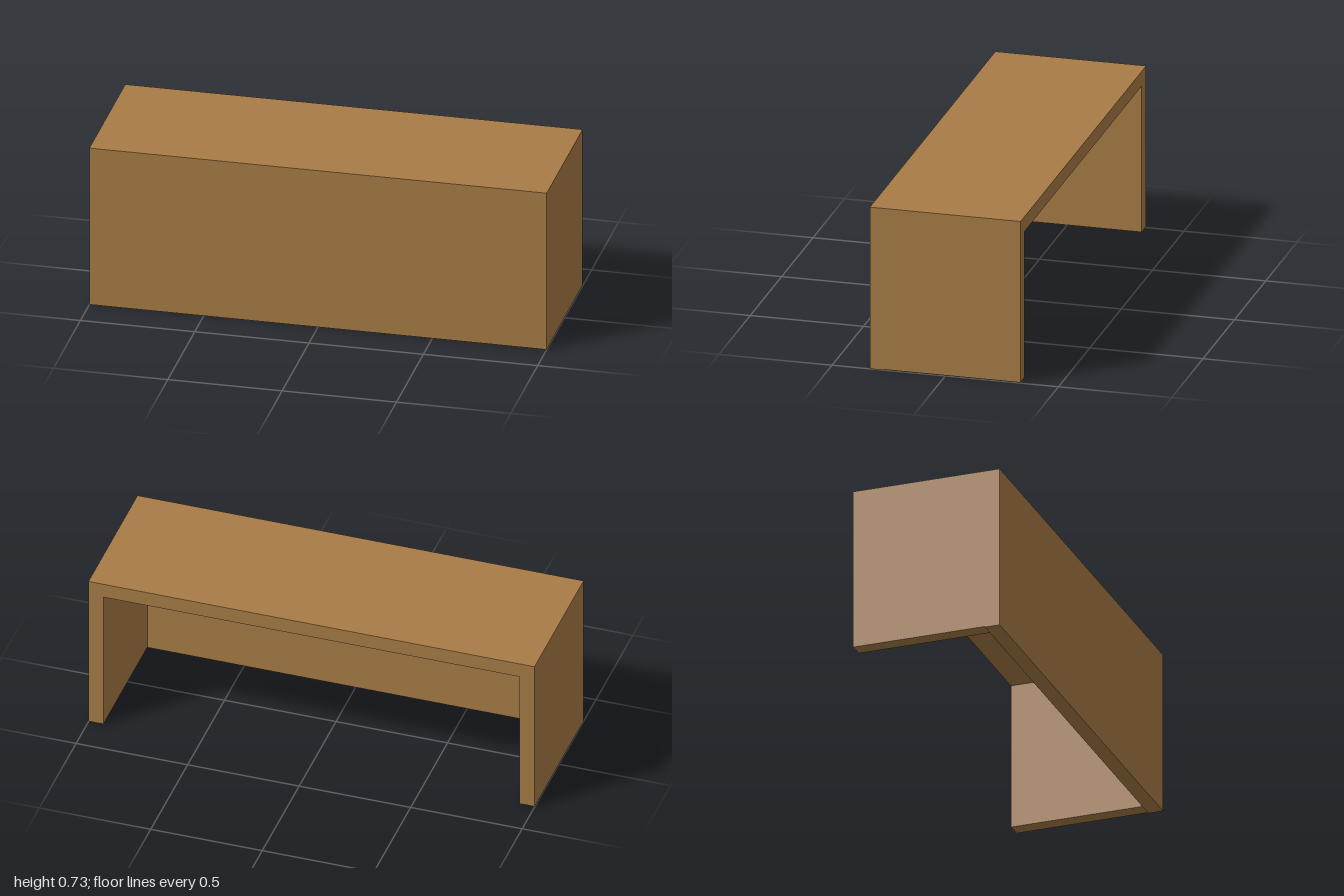
import * as THREE from 'three';

export function createModel() {
  const group = new THREE.Group();
  const wood = new THREE.MeshStandardMaterial({ color: 0xa87c46 });
  wood.name = 'wood';

  // Adds a board spanning the given min and max corners
  function board(name, min, max) {
    const size = max.map((v, i) => v - min[i]);
    const mesh = new THREE.Mesh(new THREE.BoxGeometry(...size), wood);
    mesh.position.set(...max.map((v, i) => (v + min[i]) / 2));
    mesh.name = name;
    group.add(mesh);
  }

  const W = 1, D = 0.333, H = 0.733, T = 0.067;

  // Desk top and full-width front panel
  board('deskTop', [-W, H - T, -D], [W, H, D]);
  board('frontPanel', [-W, 0, D - T], [W, H - T, D]);

  // Side panels, a hair clear of the floor; the back stays open
  board('leftSide', [W - T, 0.003, -D + 0.001], [W, H - T, D - T]);
  board('rightSide', [-W, 0.003, -D + 0.001], [-W + T, H - T, D - T]);

  return group;
}
